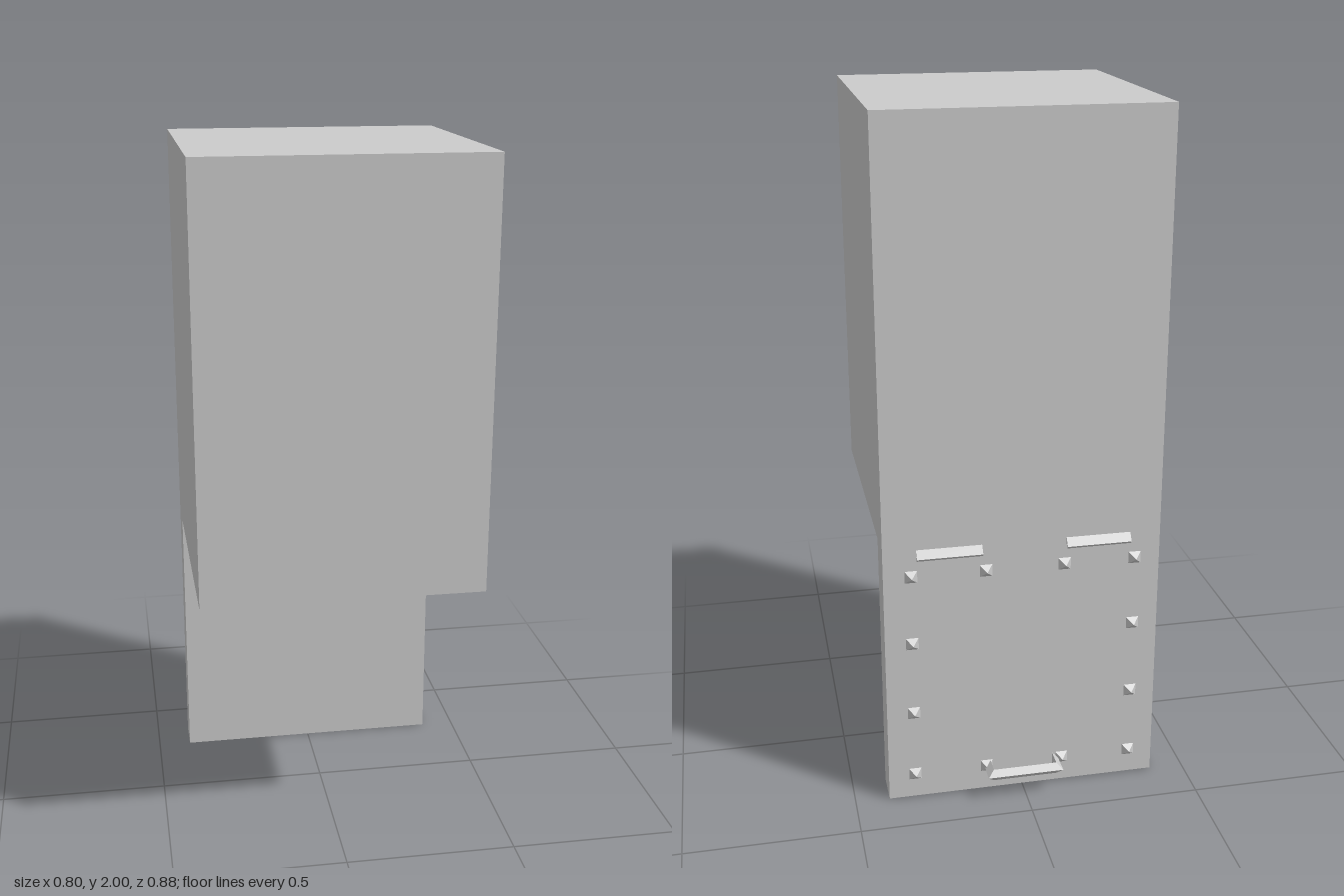
import * as THREE from 'three';

const mat = new THREE.MeshStandardMaterial({ color: 0xcccccc, flatShading: true, side: THREE.DoubleSide });
const PLATE_Z = -0.372;

function part(name, geometry, x = 0, y = 0, z = 0) {
  const mesh = new THREE.Mesh(geometry, mat);
  mesh.name = name;
  mesh.position.set(x, y, z);
  return mesh;
}

// Shape from [x, y] points
const shapeOf = (pts) => new THREE.Shape(pts.map(([x, y]) => new THREE.Vector2(x, y)));
const squarePts = (h) => [[-h, -h], [h, -h], [h, h], [-h, h]];

// Side profile [z, y] extruded across x
function extrudeAcross(pts, width) {
  const g = new THREE.ExtrudeGeometry(shapeOf(pts), { depth: width, bevelEnabled: false });
  g.translate(0, 0, -width / 2);
  g.rotateY(-Math.PI / 2);
  return g;
}

// Triangular-section bar bent into a U: flat inside, ridge outside, mitred corners
function handleGeometry(halfW, depth, thick, halfH) {
  const outer = [[-halfW, 0], [-halfW, -depth], [halfW, -depth], [halfW, 0]];
  const w = halfW - thick, d = depth - thick * 0.85;
  const inner = [[-w, 0], [-w, -d], [w, -d], [w, 0]];
  const pos = [], idx = [];
  outer.forEach(([x, z], i) => {
    const [ix, iz] = inner[i];
    pos.push(x, 0, z, ix, halfH, iz, ix, -halfH, iz);
  });
  for (let i = 0; i < 3; i++) {
    for (let j = 0; j < 3; j++) {
      const a = i * 3 + j, b = i * 3 + (j + 1) % 3;
      idx.push(a, b, a + 3, b, b + 3, a + 3);
    }
  }
  const g = new THREE.BufferGeometry();
  g.setAttribute('position', new THREE.Float32BufferAttribute(pos, 3));
  g.setIndex(idx);
  const flat = g.toNonIndexed();
  flat.computeVertexNormals();
  return flat;
}

export function createModel() {
  const model = new THREE.Group();
  model.name = 'cabinet';

  // Overhanging body on a thin rear slab
  model.add(part('body', extrudeAcross(
    [[-0.36, 0], [-0.26, 0], [-0.26, 0.8], [0.44, 0.8], [0.44, 2], [-0.36, 2]], 0.8)));

  // Hatch on the back: thin frame around a flush centre panel
  const hatch = new THREE.Group();
  hatch.name = 'hatch';
  const frame = shapeOf(squarePts(0.385));
  frame.holes.push(new THREE.Path(shapeOf(squarePts(0.28)).getPoints()));
  const frameGeo = new THREE.ShapeGeometry(frame).rotateY(Math.PI);
  const panelGeo = new THREE.PlaneGeometry(0.56, 0.56).rotateY(Math.PI);
  hatch.add(part('hatchFrame', frameGeo, 0, 0.4, PLATE_Z));
  hatch.add(part('hatchPanel', panelGeo, 0, 0.4, PLATE_Z));

  // Pyramid studs around the frame
  const stud = new THREE.ConeGeometry(0.018 * Math.SQRT2, 0.019, 4);
  stud.rotateY(Math.PI / 4);
  stud.rotateX(-Math.PI / 2);
  const xs = [-0.323, -0.117, 0.11, 0.323], ys = [0.085, 0.29, 0.515, 0.725];
  xs.forEach((x, i) => ys.forEach((y, j) => {
    const onEdge = i % 3 === 0 || j % 3 === 0;
    if (onEdge) hatch.add(part('stud', stud, x, y, PLATE_Z - 0.0095));
  }));

  // Ridged hinges along the top edge
  const hinge = extrudeAcross([[-0.36, -0.022], [-0.36, 0.022], [-0.378, 0]], 0.187);
  for (const x of [-0.218, 0.212]) hatch.add(part('hinge', hinge, x, 0.778));

  // Pull handle near the bottom
  hatch.add(part('handle', handleGeometry(0.112, 0.068, 0.018, 0.018), 0.005, 0.084, PLATE_Z));

  model.add(hatch);
  return model;
}
